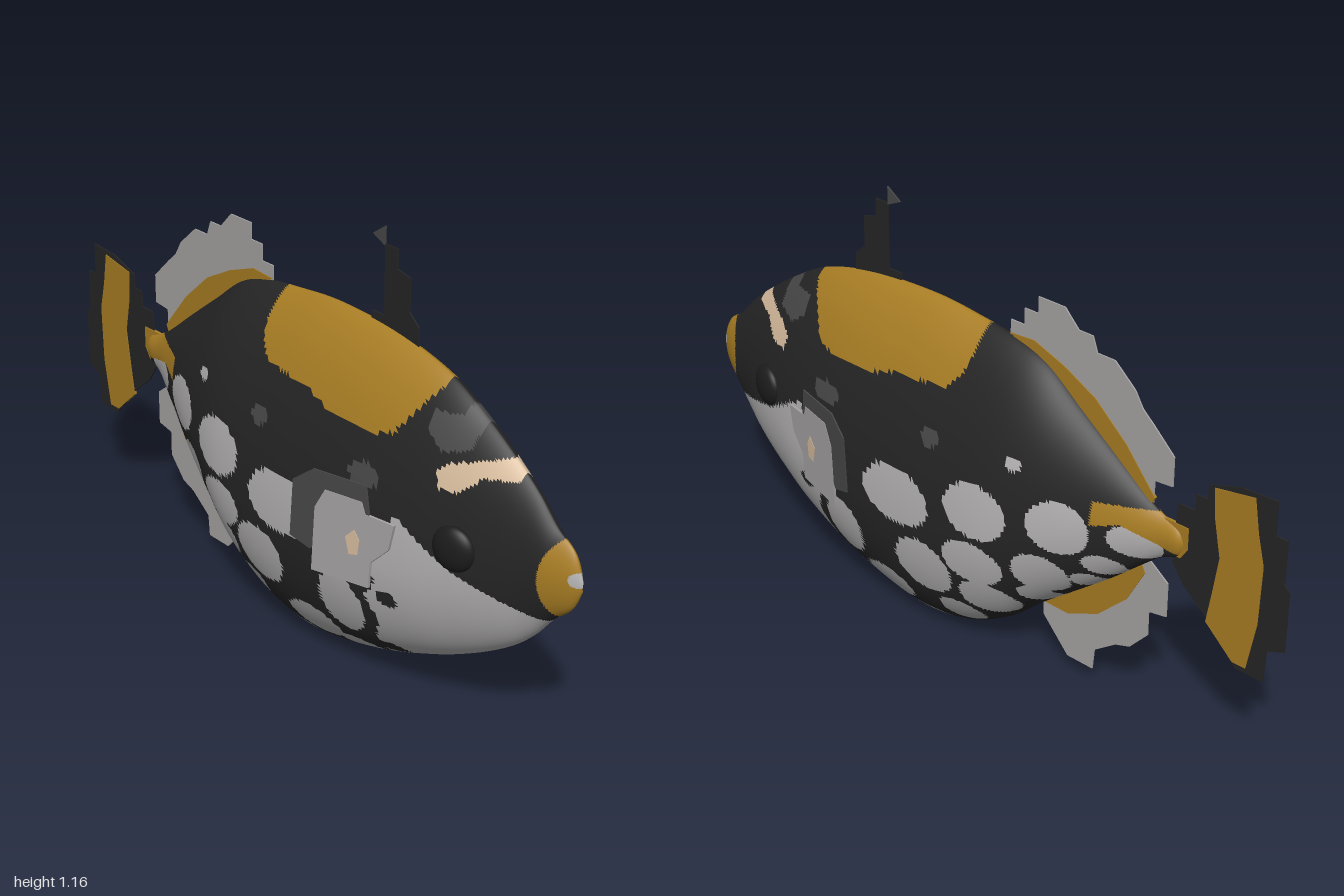
import * as THREE from 'three';

const mat = (name, color) => {
  const m = new THREE.MeshStandardMaterial({ color });
  m.name = name;
  return m;
};

// Body stations from nose to tail: z, top, bottom, half width, height of widest point
const STATIONS = [
  [1.0, 0.51, 0.49, 0.002, 0.5], [0.97, 0.575, 0.43, 0.022, 0.5], [0.915, 0.615, 0.38, 0.045, 0.49],
  [0.855, 0.675, 0.31, 0.062, 0.48], [0.785, 0.73, 0.25, 0.085, 0.46], [0.68, 0.80, 0.185, 0.115, 0.44],
  [0.545, 0.87, 0.12, 0.146, 0.40], [0.36, 0.912, 0.052, 0.172, 0.37], [0.145, 0.925, 0.006, 0.181, 0.36],
  [-0.015, 0.913, 0.026, 0.18, 0.37], [-0.15, 0.895, 0.095, 0.172, 0.4], [-0.25, 0.86, 0.18, 0.152, 0.44],
  [-0.36, 0.78, 0.265, 0.12, 0.48], [-0.47, 0.70, 0.35, 0.08, 0.51], [-0.57, 0.625, 0.435, 0.042, 0.53],
  [-0.62, 0.595, 0.475, 0.025, 0.535], [-0.67, 0.575, 0.50, 0.016, 0.54], [-0.69, 0.545, 0.535, 0.002, 0.54],
];

// Tests for painted regions, all in side profile (z, y)
const oval = (cz, cy, rz, ry) => (z, y) => ((z - cz) / rz) ** 2 + ((y - cy) / ry) ** 2 < 1;
const patch = (pts) => (z, y) => {
  let inside = false;
  pts.forEach(([az, ay], i) => {
    const [bz, by] = pts[(i + 1) % pts.length];
    if ((ay > y) !== (by > y) && z < ((bz - az) * (y - ay)) / (by - ay) + az) inside = !inside;
  });
  return inside;
};

const SPOTS = [
  [0.12, 0.42, 0.12, 0.08], [-0.15, 0.475, 0.097, 0.075], [-0.38, 0.50, 0.08, 0.072],
  [-0.14, 0.32, 0.09, 0.063], [-0.325, 0.345, 0.07, 0.063], [-0.485, 0.415, 0.05, 0.033],
  [0.03, 0.24, 0.097, 0.08], [-0.16, 0.205, 0.075, 0.058], [0.20, 0.105, 0.09, 0.05],
  [0.34, 0.225, 0.075, 0.085], [-0.055, 0.115, 0.062, 0.043], [0.335, 0.075, 0.06, 0.028],
  [-0.295, 0.258, 0.045, 0.035], [0.09, 0.025, 0.09, 0.03], [-0.435, 0.345, 0.04, 0.03],
  [-0.57, 0.51, 0.07, 0.045], [-0.25, 0.635, 0.022, 0.018],
];

// Material slots: 0 black, 1 white, 2 yellow, 3 tan, 4 dark grey. First match wins.
const PAINT = [
  [1, oval(0.99, 0.515, 0.02, 0.018)],
  [2, oval(1.0, 0.5, 0.1, 0.125)],
  [2, patch([[0.56, 0.85], [0.47, 0.72], [0.42, 0.705], [0.25, 0.71], [0.17, 0.735], [0, 0.75],
    [-0.04, 0.79], [-0.055, 0.84], [-0.055, 1], [0.56, 1]])],
  [2, patch([[-0.46, 0.595], [-0.46, 0.53], [-0.53, 0.55], [-0.6, 0.53], [-0.7, 0.5], [-0.7, 0.6], [-0.58, 0.6]])],
  [3, patch([[0.81, 0.75], [0.73, 0.725], [0.65, 0.70], [0.61, 0.675], [0.625, 0.635], [0.68, 0.638],
    [0.73, 0.685], [0.81, 0.695]])],
  [4, patch([[0.69, 0.85], [0.68, 0.735], [0.61, 0.715], [0.555, 0.755], [0.555, 0.80], [0.63, 0.80], [0.64, 0.85]])],
  [4, oval(0.015, 0.62, 0.03, 0.026)],
  [4, oval(0.41, 0.60, 0.05, 0.03)],
  [0, oval(0.5, 0.3, 0.03, 0.022)],
  [0, oval(0.45, 0.12, 0.04, 0.02)],
  [1, patch([[0.93, 0.375], [0.82, 0.405], [0.68, 0.445], [0.52, 0.53], [0.44, 0.45], [0.465, 0.33],
    [0.43, 0.29], [0.46, 0.22], [0.42, 0.13], [0.43, 0], [0.95, 0]])],
  ...SPOTS.map((s) => [1, oval(...s)]),
];

function bodyGeometry() {
  const ROWS = 230, RING = 180;
  const upper = new THREE.CatmullRomCurve3(
    STATIONS.map(([z, top, , w]) => new THREE.Vector3(w, top, z)), false, 'catmullrom');
  const lower = new THREE.CatmullRomCurve3(
    STATIONS.map(([z, , bottom, , mid]) => new THREE.Vector3(mid, bottom, z)), false, 'catmullrom');
  const pos = [];
  for (let i = 0; i <= ROWS; i++) {
    const u = upper.getPoint(i / ROWS), l = lower.getPoint(i / ROWS), mid = l.x;
    for (let j = 0; j < RING; j++) {
      const a = (j / RING) * Math.PI * 2, c = Math.cos(a), s = Math.sin(a);
      // keeled back above the widest point, round belly below
      const x = u.x * Math.sign(c) * Math.abs(c) ** (s > 0 ? 1.4 : 1);
      pos.push(x, mid + s * (s > 0 ? u.y - mid : mid - l.y), u.z);
    }
  }
  const slots = [[], [], [], [], []];
  const addTri = (...t) => {
    const y = t.reduce((n, v) => n + pos[v * 3 + 1], 0) / 3;
    const z = t.reduce((n, v) => n + pos[v * 3 + 2], 0) / 3;
    const hit = PAINT.find(([, test]) => test(z, y));
    slots[hit ? hit[0] : 0].push(...t);
  };
  for (let i = 0; i < ROWS; i++) {
    for (let j = 0; j < RING; j++) {
      const k = (j + 1) % RING;
      const a = i * RING + j, b = i * RING + k, c = a + RING, d = b + RING;
      addTri(a, c, b);
      addTri(b, c, d);
    }
  }
  const g = new THREE.BufferGeometry();
  g.setAttribute('position', new THREE.Float32BufferAttribute(pos, 3));
  g.setIndex(slots.flat());
  let start = 0;
  slots.forEach((s, i) => { g.addGroup(start, s.length, i); start += s.length; });
  g.computeVertexNormals();
  return g;
}

// Thin upright plate from a (z, y) outline; bend gives the sideways offset for each z
function plate(name, pts, material, thick = 0.004, bend = () => 0) {
  const shape = new THREE.Shape(pts.map(([z, y]) => new THREE.Vector2(z, y)));
  const g = new THREE.ExtrudeGeometry(shape, { depth: thick, bevelEnabled: false });
  g.translate(0, 0, -thick / 2).rotateY(-Math.PI / 2);
  const p = g.attributes.position;
  for (let i = 0; i < p.count; i++) p.setX(i, p.getX(i) + bend(p.getZ(i)));
  g.computeVertexNormals();
  const mesh = new THREE.Mesh(g, material);
  mesh.name = name;
  return mesh;
}

export function createModel() {
  const black = mat('black', 0x252525), white = mat('spotWhite', 0xb4b2b2), yellow = mat('ochreYellow', 0xa87d24);
  const tan = mat('tan', 0xd8bd9e), dark = mat('darkGrey', 0x484848), finGrey = mat('finGrey', 0xa6a3a3);
  const eyeBlack = mat('eyeBlack', 0x1c1c1c);
  const fish = new THREE.Group();
  fish.name = 'fish';

  const body = new THREE.Mesh(bodyGeometry(), [black, white, yellow, tan, dark]);
  body.name = 'body';
  fish.add(body);

  // Rear back fin with ochre base
  fish.add(plate('backFin', [[-0.12, 0.9], [-0.12, 0.94], [-0.165, 0.94], [-0.165, 0.985], [-0.21, 0.985],
    [-0.21, 1.03], [-0.295, 1.03], [-0.34, 0.985], [-0.385, 0.985], [-0.4, 0.945], [-0.455, 0.945], [-0.52, 0.89],
    [-0.545, 0.85], [-0.58, 0.82], [-0.645, 0.76], [-0.645, 0.68], [-0.59, 0.675], [-0.59, 0.615],
    [-0.47, 0.68], [-0.33, 0.78], [-0.2, 0.86]], finGrey));
  fish.add(plate('backFinBase', [[-0.12, 0.905], [-0.2, 0.91], [-0.3, 0.875], [-0.4, 0.825], [-0.5, 0.74],
    [-0.595, 0.63], [-0.585, 0.61], [-0.48, 0.68], [-0.33, 0.78], [-0.2, 0.86]], yellow, 0.008));

  // Underside fin with ochre base
  fish.add(plate('bellyFin', [[-0.245, 0.18], [-0.245, 0.14], [-0.33, 0.05], [-0.415, 0.05], [-0.42, 0.11],
    [-0.49, 0.16], [-0.535, 0.175], [-0.59, 0.235], [-0.59, 0.305], [-0.645, 0.315], [-0.645, 0.41],
    [-0.59, 0.45], [-0.47, 0.38], [-0.33, 0.28]], finGrey));
  fish.add(plate('bellyFinBase', [[-0.25, 0.18], [-0.33, 0.18], [-0.43, 0.225], [-0.52, 0.31], [-0.575, 0.41],
    [-0.56, 0.44], [-0.47, 0.38], [-0.33, 0.28]], yellow, 0.008));

  // Tail fin with ochre band and root
  fish.add(plate('tailFin', [[-0.66, 0.59], [-0.665, 0.645], [-0.715, 0.645], [-0.715, 0.69], [-0.75, 0.69],
    [-0.75, 0.73], [-0.845, 0.76], [-0.945, 0.765], [-0.945, 0.675], [-0.98, 0.675], [-0.98, 0.56], [-0.995, 0.545],
    [-0.995, 0.38], [-0.945, 0.36], [-0.94, 0.27], [-0.86, 0.27], [-0.8, 0.33], [-0.765, 0.37], [-0.69, 0.43],
    [-0.655, 0.48]], black));
  fish.add(plate('tailBand', [[-0.77, 0.73], [-0.885, 0.75], [-0.9, 0.66], [-0.92, 0.58], [-0.915, 0.42],
    [-0.89, 0.285], [-0.85, 0.285], [-0.765, 0.36], [-0.78, 0.45], [-0.795, 0.55], [-0.775, 0.65]], yellow, 0.008));
  fish.add(plate('tailRoot', [[-0.6, 0.59], [-0.7, 0.59], [-0.7, 0.53], [-0.68, 0.5], [-0.6, 0.5]], yellow, 0.009));

  // Raised front spine with pale tip
  fish.add(plate('frontSpine', [[0.435, 0.88], [0.435, 0.945], [0.4, 0.975], [0.4, 1.06], [0.355, 1.07],
    [0.355, 1.12], [0.31, 1.12], [0.31, 0.94], [0.265, 0.94], [0.265, 0.9]], black));
  fish.add(plate('spineTip', [[0.31, 1.165], [0.265, 1.135], [0.31, 1.115]], dark));

  for (const side of [1, -1]) {
    const label = side > 0 ? 'left' : 'right';
    // Side fin, angled out toward the rear
    const bend = (z) => side * (0.163 + (0.52 - z) * 0.25);
    fish.add(plate(label + 'SideFinEdge', [[0.47, 0.52], [0.46, 0.6], [0.31, 0.6], [0.25, 0.555], [0.24, 0.4],
      [0.3, 0.38], [0.36, 0.45]], dark, 0.004, bend));
    fish.add(plate(label + 'SideFin', [[0.525, 0.45], [0.54, 0.52], [0.46, 0.525], [0.45, 0.555], [0.345, 0.555],
      [0.315, 0.5], [0.305, 0.325], [0.47, 0.33], [0.475, 0.4]], finGrey, 0.007, bend));
    fish.add(plate(label + 'SideFinMark', [[0.445, 0.45], [0.43, 0.475], [0.405, 0.45], [0.415, 0.405], [0.44, 0.41]],
      tan, 0.0095, bend));

    // Low domed eye
    const eye = new THREE.Mesh(new THREE.SphereGeometry(0.058, 32, 20), eyeBlack);
    eye.name = label + 'Eye';
    eye.scale.x = 0.45;
    eye.position.set(side * 0.108, 0.505, 0.69);
    eye.rotation.y = side * -0.25;
    fish.add(eye);
  }
  return fish;
}
